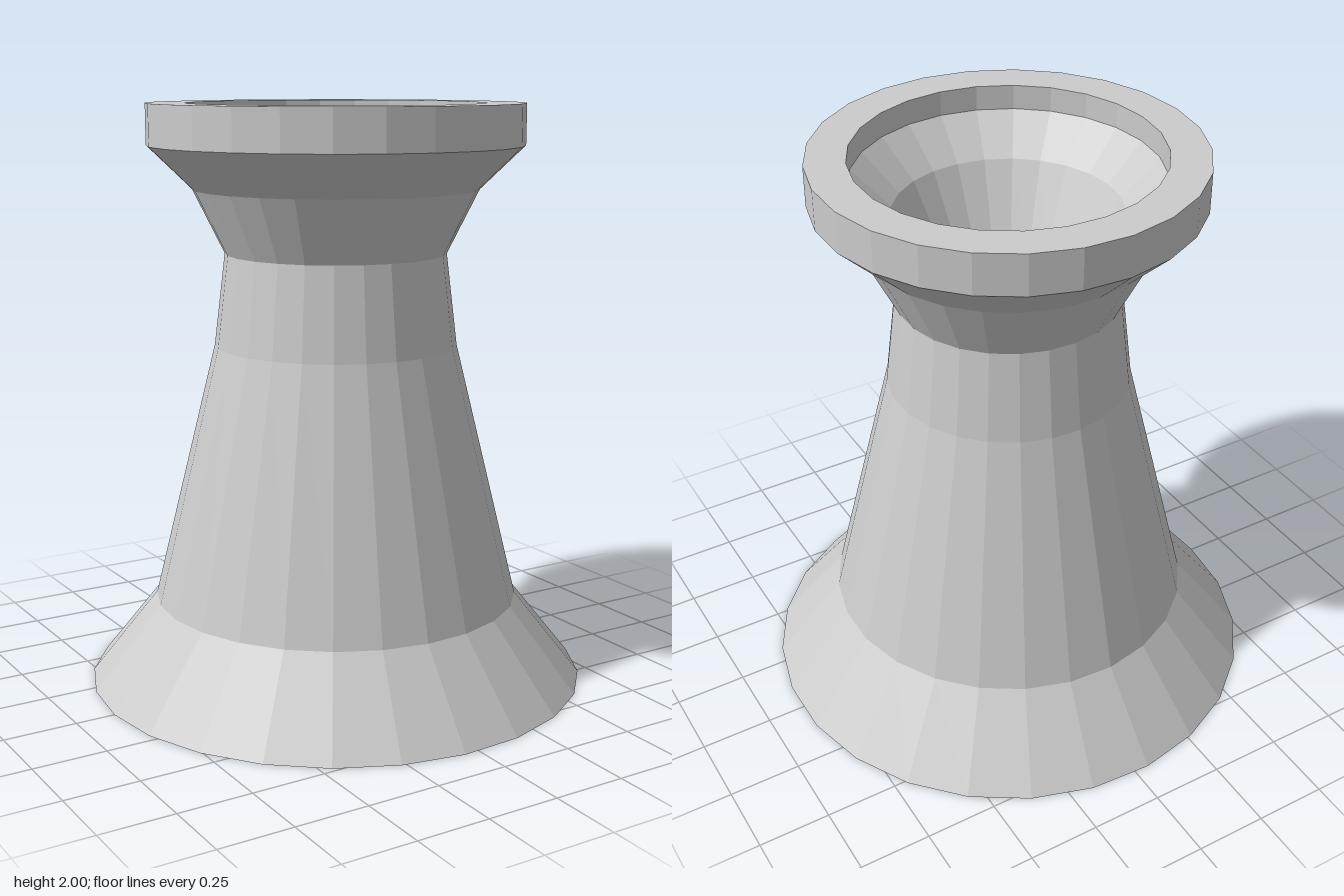
import * as THREE from 'three';

const SIDES = 25;

export function createModel() {
  const model = new THREE.Group();
  model.name = 'flaredPedestal';
  const material = new THREE.MeshStandardMaterial({ color: 0xcccccc, flatShading: true });

  // Turns a [radius, height] profile around y, with one corner on -x;
  // the small shift centres the odd-sided outline
  function turned(name, profile) {
    const points = profile.map(([r, y]) => new THREE.Vector2(r, y));
    const mesh = new THREE.Mesh(new THREE.LatheGeometry(points, SIDES, -Math.PI / 2), material);
    mesh.name = name;
    mesh.position.x = 0.003;
    model.add(mesh);
  }

  // Outside, from the hollowed underside up to the rim
  turned('underside', [[0, 0.117], [0.868, 0]]);
  turned('flaredBase', [[0.868, 0], [0.636, 0.29]]);
  turned('shaft', [[0.636, 0.29], [0.418, 1.18], [0.38, 1.495]]);
  turned('collar', [[0.38, 1.495], [0.488, 1.713], [0.64, 1.86]]);
  turned('rim', [[0.64, 1.86], [0.64, 2], [0.507, 2], [0.507, 1.915]]);

  // Inside, an even wall thickness away, from the rim down to the floor
  turned('bowl', [[0.507, 1.915], [0.38, 1.79], [0.25, 1.518]]);
  turned('innerShaft', [[0.25, 1.518], [0.287, 1.156], [0.514, 0.23], [0.56, 0.173]]);

  // Raised floor with a tiny pit in the middle
  turned('innerFloor', [[0.56, 0.173], [0.018, 0.249]]);
  turned('floorPit', [[0.018, 0.249], [0, 0.118]]);

  return model;
}
